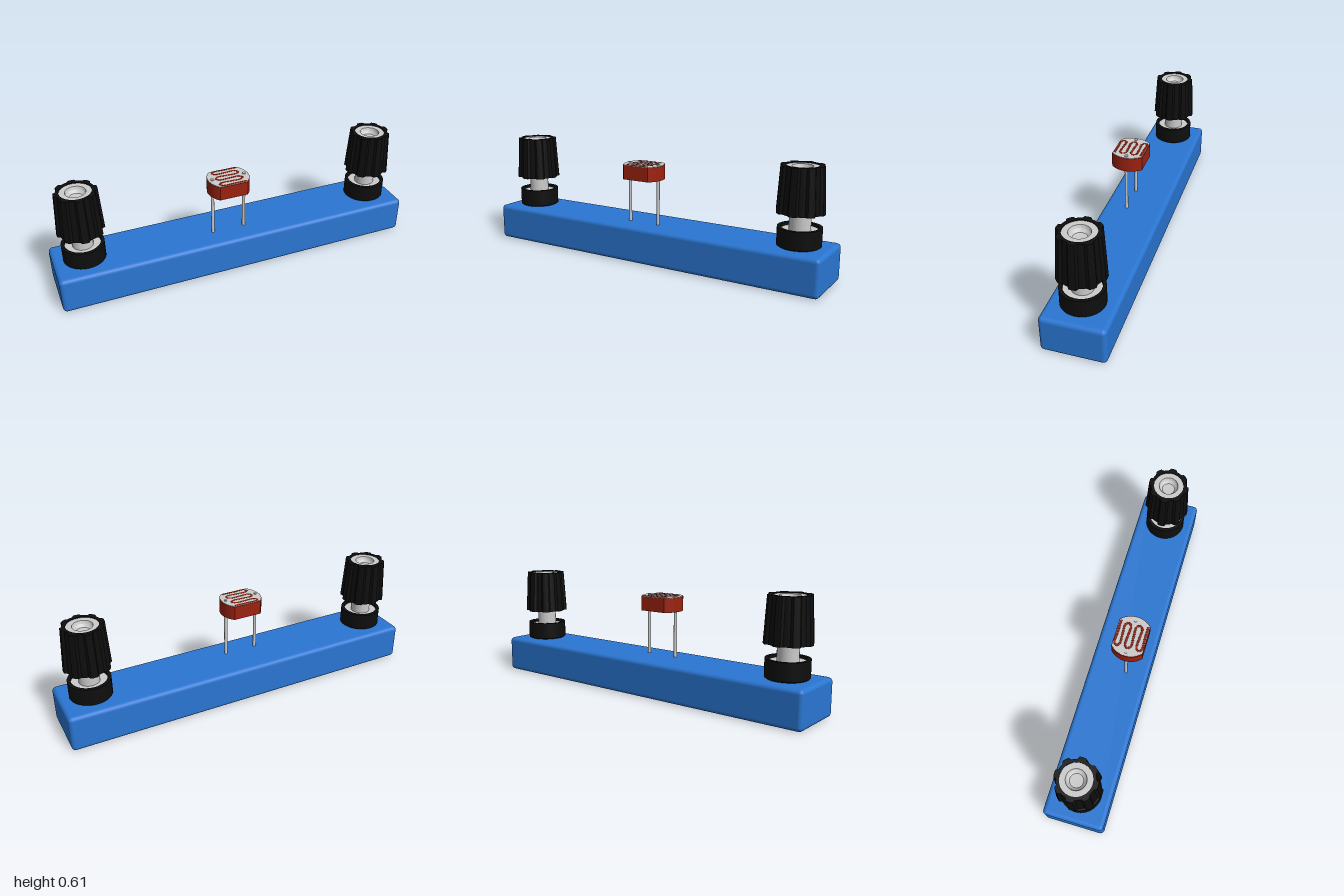
import * as THREE from 'three';
import { toCreasedNormals } from 'three/addons/utils/BufferGeometryUtils.js';
import { RoundedBoxGeometry } from 'three/addons/geometries/RoundedBoxGeometry.js';

const mat = (color) => new THREE.MeshStandardMaterial({ color });
const blue = mat(0x2a76d2), black = mat(0x0e0e0e), red = mat(0x9c2210), grey = mat(0xcccccc);

function add(parent, name, geometry, material, x = 0, y = 0, z = 0) {
  const mesh = new THREE.Mesh(geometry, material);
  mesh.name = name;
  mesh.position.set(x, y, z);
  parent.add(mesh);
  return mesh;
}

// Turned part from [radius, height] pairs, bottom to top; optional rule reshapes the radius by angle
function turned(profile, segments = 48, rule = null) {
  const geo = new THREE.LatheGeometry(profile.map(([r, y]) => new THREE.Vector2(r, y)), segments);
  if (rule) {
    const p = geo.attributes.position;
    for (let i = 0; i < p.count; i++) {
      const x = p.getX(i), z = p.getZ(i);
      const k = rule(Math.hypot(x, z), Math.atan2(z, x));
      p.setX(i, x * k);
      p.setZ(i, z * k);
    }
  }
  return toCreasedNormals(geo, 0.6);
}

// Eight rounded grip ribs on the outer wall only
function ribs(r, angle) {
  if (r < 0.1) return 1;
  return 0.89 + 0.11 * THREE.MathUtils.smoothstep(Math.cos(8 * angle), -0.35, 0.45);
}

function createTerminal(x) {
  const post = new THREE.Group();
  post.name = 'terminalPost';
  post.position.x = x;

  // Collar with a recessed metal washer
  add(post, 'collar', turned([
    [0, 0.195], [0.085, 0.198], [0.103, 0.202], [0.111, 0.208], [0.111, 0.3], [0.093, 0.3], [0.093, 0.28],
  ]), black);
  add(post, 'washer', turned([[0.094, 0.285], [0.05, 0.285]]), grey);
  add(post, 'shaft', new THREE.CylinderGeometry(0.054, 0.054, 0.12, 40), grey, 0, 0.33);

  // Tapered, ribbed screw cap with a metal socket in its top
  add(post, 'cap', turned([
    [0.05, 0.364], [0.06, 0.364], [0.123, 0.372], [0.109, 0.607], [0.081, 0.607], [0.081, 0.59],
  ], 128, ribs), black);
  add(post, 'socket', turned([
    [0.082, 0.602], [0.052, 0.602], [0.048, 0.585], [0.034, 0.572], [0, 0.57],
  ]), grey);
  return post;
}

// Disc outline with two flat sides
function clippedDisc(radius, halfDepth, height) {
  const a = Math.asin(halfDepth / radius);
  const shape = new THREE.Shape();
  shape.absarc(0, 0, radius, -a, a, false);
  shape.absarc(0, 0, radius, Math.PI - a, Math.PI + a, false);
  const geo = new THREE.ExtrudeGeometry(shape, { depth: height, bevelEnabled: false, curveSegments: 20 });
  geo.rotateX(-Math.PI / 2);
  return toCreasedNormals(geo, 0.6);
}

// Winding track of six rows joined by round turns
function serpentine() {
  const rows = [-0.073, -0.046, -0.016, 0.014, 0.045, 0.073];
  const reach = 0.068, points = [];
  rows.forEach((z, i) => {
    const dir = i % 2 ? 1 : -1;
    const first = i === 0, last = i === rows.length - 1;
    points.push(new THREE.Vector3(-dir * (first ? 0.074 : reach - 0.013), 0, z));
    points.push(new THREE.Vector3(0, 0, z));
    points.push(new THREE.Vector3(dir * (last ? 0.074 : reach - 0.013), 0, z));
    if (!last) points.push(new THREE.Vector3(dir * reach, 0, (z + rows[i + 1]) / 2));
  });
  const geo = new THREE.TubeGeometry(new THREE.CatmullRomCurve3(points), 200, 0.0055, 8);
  geo.scale(1, 0.3, 1);
  return geo;
}

function createSensor() {
  const sensor = new THREE.Group();
  sensor.name = 'lightSensor';
  sensor.position.set(-0.045, 0, 0.04);
  add(sensor, 'sensorBody', clippedDisc(0.114, 0.084, 0.077), red, 0, 0.45);
  add(sensor, 'sensorFace', clippedDisc(0.111, 0.081, 0.003), grey, 0, 0.527);
  add(sensor, 'sensorTrack', serpentine(), red, 0, 0.5305);
  for (const side of [-1, 1]) {
    add(sensor, 'wireLeg', new THREE.CylinderGeometry(0.009, 0.009, 0.345, 16), grey, side * 0.09, 0.3625);
  }
  return sensor;
}

export function createModel() {
  const model = new THREE.Group();
  model.name = 'sensorModule';
  add(model, 'base', new RoundedBoxGeometry(2, 0.2, 0.33, 3, 0.022), blue, 0, 0.1);
  for (const side of [-1, 1]) model.add(createTerminal(side * 0.835));
  model.add(createSensor());
  return model;
}
